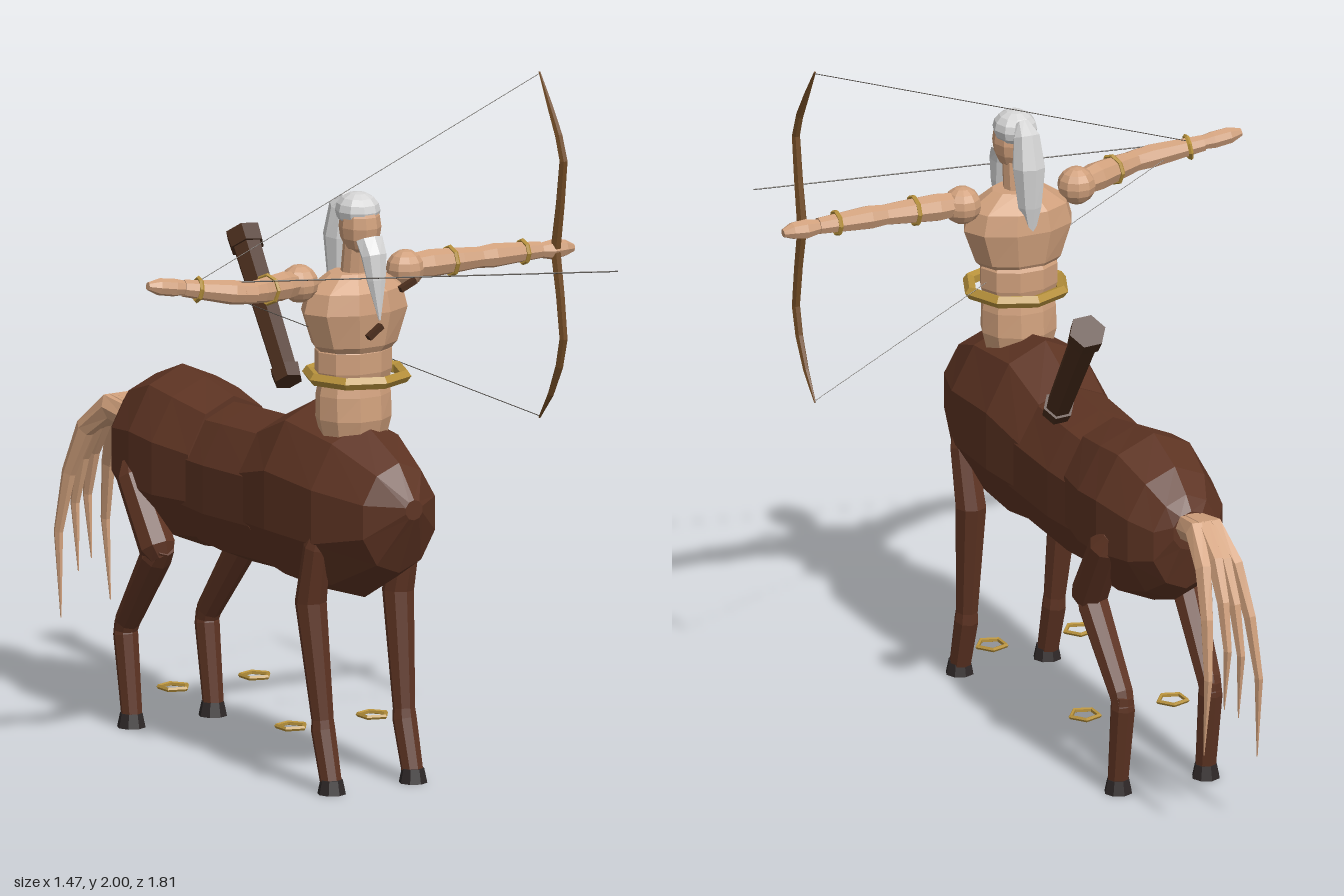
import * as THREE from 'three';

const mat = (name, color) => {
  const m = new THREE.MeshStandardMaterial({ color });
  m.name = name;
  m.flatShading = true;
  return m;
};
const CX = -0.015; // body centre line

// Skin a row of elliptical stations [x, y, z, ru, rv]; ru lies along ref, rv across it.
function loft(pts, ref, sides = 8, axis = null) {
  const pos = [], idx = [], n = pts.length;
  const c = pts.map(p => new THREE.Vector3(p[0], p[1], p[2]));
  pts.forEach((p, i) => {
    const t = axis ? axis.clone() : c[Math.min(i + 1, n - 1)].clone().sub(c[Math.max(i - 1, 0)]).normalize();
    const u = ref.clone().addScaledVector(t, -ref.dot(t)).normalize();
    const v = t.clone().cross(u);
    for (let j = 0; j < sides; j++) {
      const a = (j / sides) * Math.PI * 2;
      const q = c[i].clone().addScaledVector(u, Math.cos(a) * p[3]).addScaledVector(v, Math.sin(a) * (p[4] ?? p[3]));
      pos.push(q.x, q.y, q.z);
    }
  });
  pos.push(...c[0].toArray(), ...c[n - 1].toArray());
  for (let j = 0; j < sides; j++) {
    const k = (j + 1) % sides, e = (n - 1) * sides;
    for (let i = 0; i < n - 1; i++) {
      const a = i * sides + j, b = i * sides + k;
      idx.push(a, b, b + sides, a, b + sides, a + sides);
    }
    idx.push(n * sides, k, j, n * sides + 1, e + j, e + k);
  }
  const g = new THREE.BufferGeometry();
  g.setAttribute('position', new THREE.Float32BufferAttribute(pos, 3));
  g.setIndex(idx);
  g.computeVertexNormals();
  return g;
}

export function createModel() {
  const root = new THREE.Group();
  root.name = 'centaurArcher';
  const coat = mat('chestnutCoat', 0x5e3423), skin = mat('skin', 0xd0a07c), gold = mat('gold', 0xb8923c);
  const hair = mat('silverHair', 0xd6d6d6), wood = mat('bowWood', 0x704a24), leather = mat('quiverLeather', 0x4a2d1c);
  const hoofMat = mat('hoof', 0x2e2828), cord = mat('cord', 0x55504a);
  const X = new THREE.Vector3(1, 0, 0), Y = new THREE.Vector3(0, 1, 0), Z = new THREE.Vector3(0, 0, 1);

  const add = (name, geo, m) => {
    const mesh = new THREE.Mesh(geo, m);
    mesh.name = name;
    root.add(mesh);
    return mesh;
  };
  const ball = (name, m, x, y, z, rx, ry = rx, rz = rx) => {
    const b = add(name, new THREE.SphereGeometry(1, 10, 8), m);
    b.position.set(x, y, z);
    b.scale.set(rx, ry, rz);
    return b;
  };
  const ring = (name, x, y, z, r, tube, dir, seg = 8) => {
    const t = add(name, new THREE.TorusGeometry(r, tube, 5, seg), gold);
    t.position.set(x, y, z);
    t.quaternion.setFromUnitVectors(Z, dir.clone().normalize());
    return t;
  };
  const rod = (name, a, b, r, m) => add(name, loft([[...a, r], [...b, r]], Math.abs(b[1] - a[1]) > Math.abs(b[0] - a[0]) ? X : Y, 4), m);

  // Horse body, stations [z, top, bottom, half width] listed from back to front
  const trunk = (name, rows) => add(name, loft(rows.map(([z, t, b, w]) => [CX, (t + b) / 2, z, (t - b) / 2, w]), Y, 10, Z), coat);
  trunk('hindquarters', [[-0.61, 0.91, 0.79, 0.06], [-0.575, 0.95, 0.66, 0.11], [-0.5, 1.01, 0.6, 0.16], [-0.36, 1.065, 0.55, 0.195], [-0.24, 1.05, 0.55, 0.195], [-0.09, 1.02, 0.57, 0.165]]);
  trunk('barrel', [[-0.13, 1.0, 0.56, 0.165], [0, 1.01, 0.55, 0.175], [0.25, 1.02, 0.56, 0.18]]);
  trunk('foreBody', [[0.19, 1.02, 0.57, 0.175], [0.36, 1.1, 0.54, 0.2], [0.6, 1.07, 0.555, 0.195], [0.78, 0.985, 0.66, 0.13], [0.86, 0.89, 0.83, 0.03]]);

  // Legs, hooves and loose anklets
  for (const s of [-1, 1]) {
    const side = s > 0 ? 'left' : 'right';
    const leg = (name, rows) => add(side + name, loft(rows.map(([x, y, z, r]) => [CX + s * x, y, z, r]), X, 8), coat);
    leg('FrontLeg', [[0.15, 0.8, 0.61, 0.02], [0.155, 0.72, 0.585, 0.04], [0.15, 0.55, 0.545, 0.047], [0.14, 0.21, 0.592, 0.033], [0.14, 0.18, 0.595, 0.036], [0.14, 0.03, 0.637, 0.032]]);
    leg('HindThigh', [[0.155, 0.79, -0.4, 0.025], [0.16, 0.75, -0.375, 0.05], [0.155, 0.56, -0.255, 0.055], [0.15, 0.53, -0.24, 0.035]]);
    leg('HindShin', [[0.15, 0.57, -0.23, 0.035], [0.15, 0.53, -0.27, 0.047], [0.14, 0.31, -0.435, 0.037], [0.14, 0.27, -0.45, 0.034]]);
    leg('HindCannon', [[0.14, 0.31, -0.45, 0.03], [0.14, 0.27, -0.445, 0.037], [0.14, 0.03, -0.412, 0.031]]);
    for (const [z, end] of [[0.64, 'Front'], [-0.415, 'Hind']]) {
      const hoof = add(side + end + 'Hoof', new THREE.CylinderGeometry(0.033, 0.042, 0.042, 8), hoofMat);
      hoof.position.set(CX + s * 0.14, 0.021, z);
    }
    for (const z of [0.43, -0.19]) ring(side + 'Anklet', CX + s * 0.14, 0.16, z, 0.044, 0.007, Y, 5);
  }

  // Tail strands fanning out from the rump
  for (const [x, drop] of [[-0.085, 1], [-0.025, 0.8], [0.02, 0.75], [0.085, 0.95]]) {
    const path = [[0.2, 0.86, -0.58, 0.04], [0.35, 0.88, -0.7, 0.04], [0.6, 0.8, -0.795, 0.033], [0.8, 0.66, -0.855, 0.025], [0.95, 0.48, -0.89, 0.017], [1, 0.23, -0.87, 0.002]];
    add('tailStrand', loft(path.map(([f, y, z, r]) => [CX + x * f, 0.88 - (0.88 - y) * drop, z, r * 0.75, r]), X, 6), skin);
  }

  // Human torso, stations [y, z, half width, half depth]
  const torso = (name, rows) => add(name, loft(rows.map(([y, z, w, d]) => [CX, y, z, w, d]), X, 10, Y), skin);
  torso('belly', [[1.02, 0.54, 0.1, 0.085], [1.08, 0.54, 0.115, 0.1], [1.15, 0.54, 0.115, 0.095], [1.2, 0.54, 0.105, 0.085]]);
  torso('abdomen', [[1.16, 0.54, 0.1, 0.08], [1.22, 0.54, 0.12, 0.095], [1.28, 0.54, 0.12, 0.095], [1.31, 0.54, 0.1, 0.08]]);
  torso('chest', [[1.25, 0.545, 0.08, 0.07], [1.3, 0.545, 0.135, 0.1], [1.4, 0.545, 0.172, 0.115], [1.46, 0.545, 0.155, 0.105], [1.51, 0.545, 0.08, 0.06]]);
  torso('neck', [[1.48, 0.545, 0.042, 0.042], [1.61, 0.56, 0.04, 0.04]]);
  ring('belt', CX + 0.005, 1.205, 0.55, 0.142, 0.019, Y, 8);
  for (const [x, y, z, tilt] of [[0.115, 1.465, 0.625, 0.4], [-0.02, 1.35, 0.66, 0.6]]) {
    const strap = add('strapPiece', new THREE.BoxGeometry(0.055, 0.016, 0.02), leather);
    strap.position.set(x, y, z);
    strap.rotation.z = tilt;
  }

  // Head, hair and beard
  ball('head', skin, -0.012, 1.645, 0.57, 0.06, 0.085, 0.066);
  ball('hairCap', hair, -0.012, 1.69, 0.558, 0.064, 0.054, 0.07);
  add('ponytail', loft([[-0.012, 1.72, 0.51, 0.02], [-0.012, 1.69, 0.48, 0.04], [-0.012, 1.6, 0.465, 0.05], [-0.012, 1.48, 0.46, 0.036], [-0.012, 1.4, 0.45, 0.012]], X, 8), hair);
  add('beard', loft([[-0.012, 1.615, 0.62, 0.045, 0.03], [-0.012, 1.57, 0.643, 0.04, 0.034], [-0.012, 1.5, 0.656, 0.03, 0.024], [-0.012, 1.385, 0.674, 0.003]], X, 8), hair);

  // Arms, hands and bracelets
  ball('leftShoulder', skin, 0.17, 1.49, 0.53, 0.056);
  ball('rightShoulder', skin, -0.195, 1.49, 0.53, 0.056);
  const arm = (name, rows) => add(name, loft(rows, Y, 8), skin);
  arm('leftUpperArm', [[0.18, 1.495, 0.53, 0.035], [0.25, 1.495, 0.532, 0.042], [0.35, 1.495, 0.54, 0.036], [0.43, 1.495, 0.545, 0.03]]);
  arm('leftForearm', [[0.4, 1.495, 0.543, 0.03], [0.46, 1.495, 0.545, 0.036], [0.62, 1.493, 0.55, 0.025]]);
  arm('leftHand', [[0.61, 1.492, 0.55, 0.02], [0.66, 1.49, 0.552, 0.03], [0.7, 1.49, 0.555, 0.025], [0.73, 1.487, 0.555, 0.012]]);
  arm('rightUpperArm', [[-0.2, 1.49, 0.53, 0.035], [-0.27, 1.495, 0.555, 0.043], [-0.37, 1.5, 0.59, 0.036], [-0.45, 1.505, 0.61, 0.028]]);
  arm('rightForearm', [[-0.4, 1.5, 0.605, 0.032], [-0.47, 1.51, 0.6, 0.036], [-0.62, 1.535, 0.57, 0.025]]);
  arm('rightHand', [[-0.61, 1.535, 0.572, 0.02], [-0.65, 1.54, 0.568, 0.026], [-0.7, 1.548, 0.563, 0.025], [-0.735, 1.553, 0.56, 0.012]]);
  ring('leftArmband', 0.32, 1.495, 0.538, 0.041, 0.007, X);
  ring('leftBracelet', 0.563, 1.494, 0.548, 0.033, 0.007, X);
  ring('rightArmband', -0.335, 1.498, 0.578, 0.041, 0.007, new THREE.Vector3(-1, 0.05, 0.35));
  ring('rightBracelet', -0.575, 1.527, 0.578, 0.033, 0.007, new THREE.Vector3(-1, 0.16, -0.2));

  // Bow, string and arrow
  const bow = [[0.98, 0.48, 0.003], [1.06, 0.54, 0.009], [1.15, 0.585, 0.012], [1.235, 0.607, 0.013], [1.36, 0.59, 0.014], [1.49, 0.565, 0.016], [1.63, 0.59, 0.014], [1.76, 0.607, 0.013], [1.83, 0.582, 0.012], [1.91, 0.535, 0.009], [2, 0.48, 0.003]];
  add('bow', loft(bow.map(([y, z, r]) => [0.664, y, z, r]), X, 6), wood);
  const nock = [-0.58, 1.545, 0.572];
  rod('upperString', nock, [0.664, 1.995, 0.48], 0.0012, cord);
  rod('lowerString', nock, [0.664, 0.985, 0.48], 0.0012, cord);
  rod('arrow', nock, [0.66, 1.49, 0.9], 0.002, cord);

  // Quiver with its rims
  const q0 = new THREE.Vector3(0.15, 1.06, -0.06), q1 = new THREE.Vector3(0.205, 1.41, -0.37);
  const along = (t, r) => [...q0.clone().lerp(q1, t).toArray(), r];
  add('quiver', loft([along(-0.02, 0.038), along(1, 0.045)], X, 6), leather);
  add('quiverBase', loft([along(-0.03, 0.043), along(0.06, 0.047)], X, 6), leather);
  add('quiverRim', loft([along(0.93, 0.053), along(1.04, 0.055)], X, 6), leather);
  return root;
}
